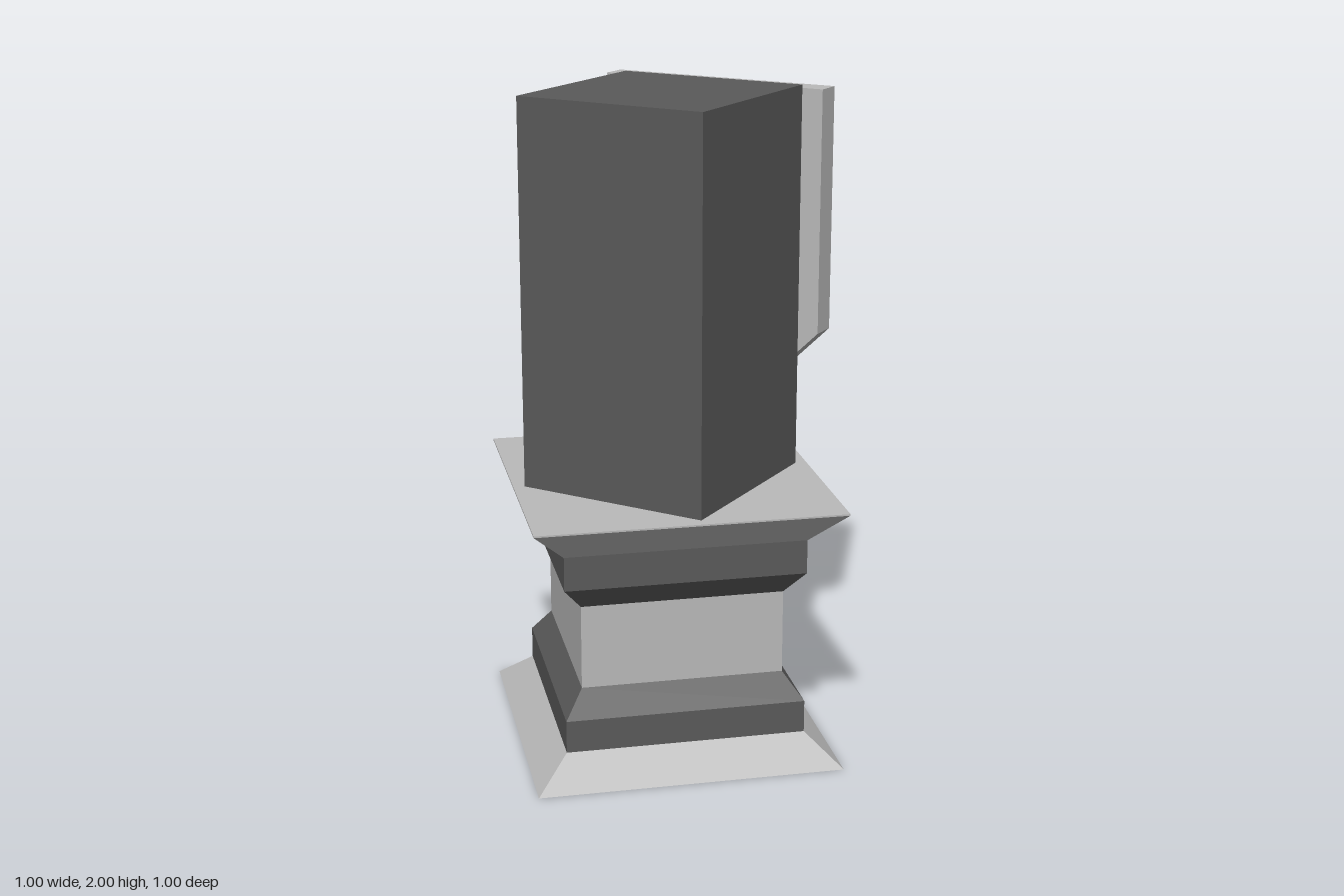
import * as THREE from 'three';

const light = new THREE.MeshStandardMaterial({ color: 0xbababa });
light.name = 'light stone';
const mid = new THREE.MeshStandardMaterial({ color: 0x7f7f7f });
mid.name = 'grey stone';
const dark = new THREE.MeshStandardMaterial({ color: 0x5a5a5a });
dark.name = 'dark stone';

function mesh(name, geometry, material) {
  const m = new THREE.Mesh(geometry, material);
  m.name = name;
  return m;
}

// Square moulding turned from [half width, height] points, with flat faces
function squareMoulding(name, profile, material) {
  const points = profile.map(([half, y]) => new THREE.Vector2(half * Math.SQRT2, y));
  const geometry = new THREE.LatheGeometry(points, 4, Math.PI / 4).toNonIndexed();
  geometry.computeVertexNormals();
  return mesh(name, geometry, material);
}

// Five-sided shield pointing down, from z to z + depth
function shield(name, half, top, shoulder, tip, z, depth, material) {
  const shape = new THREE.Shape([
    new THREE.Vector2(-half, top),
    new THREE.Vector2(-half, shoulder),
    new THREE.Vector2(0, tip),
    new THREE.Vector2(half, shoulder),
    new THREE.Vector2(half, top),
  ]);
  const geometry = new THREE.ExtrudeGeometry(shape, { depth, bevelEnabled: false });
  geometry.translate(0, 0, z);
  return mesh(name, geometry, material);
}

export function createModel() {
  const model = new THREE.Group();
  model.name = 'pedestal';

  // Stepped plinth
  const plinth = new THREE.Group();
  plinth.name = 'plinth';
  plinth.add(
    squareMoulding('foot', [[0, 0], [0.465, 0], [0.365, 0.09]], light),
    squareMoulding('lowerBand', [[0.365, 0.09], [0.365, 0.19], [0.308, 0.27]], dark),
    squareMoulding('neck', [[0.308, 0.27], [0.308, 0.53]], light),
    squareMoulding('upperBand', [[0.308, 0.53], [0.365, 0.605], [0.365, 0.71]], dark),
    squareMoulding('cap', [[0.365, 0.71], [0.465, 0.815], [0.465, 0.82], [0, 0.82]], light),
  );

  // Turned block with a shield on one face
  const upper = new THREE.Group();
  upper.name = 'turnedBlock';
  upper.rotation.y = Math.atan2(0.66, -0.751);
  const block = mesh('block', new THREE.BoxGeometry(0.61, 1.18, 0.61), dark);
  block.position.y = 1.41;
  upper.add(
    block,
    shield('shieldRim', 0.372, 1.99, 1.245, 0.88, 0.305, 0.081, light),
    shield('shieldPanel', 0.308, 1.925, 1.31, 1.005, 0.38, 0.042, mid),
  );

  model.add(plinth, upper);
  model.position.set(-0.035, 0, 0.035);
  const root = new THREE.Group();
  root.name = 'shieldPedestal';
  root.add(model);
  return root;
}
